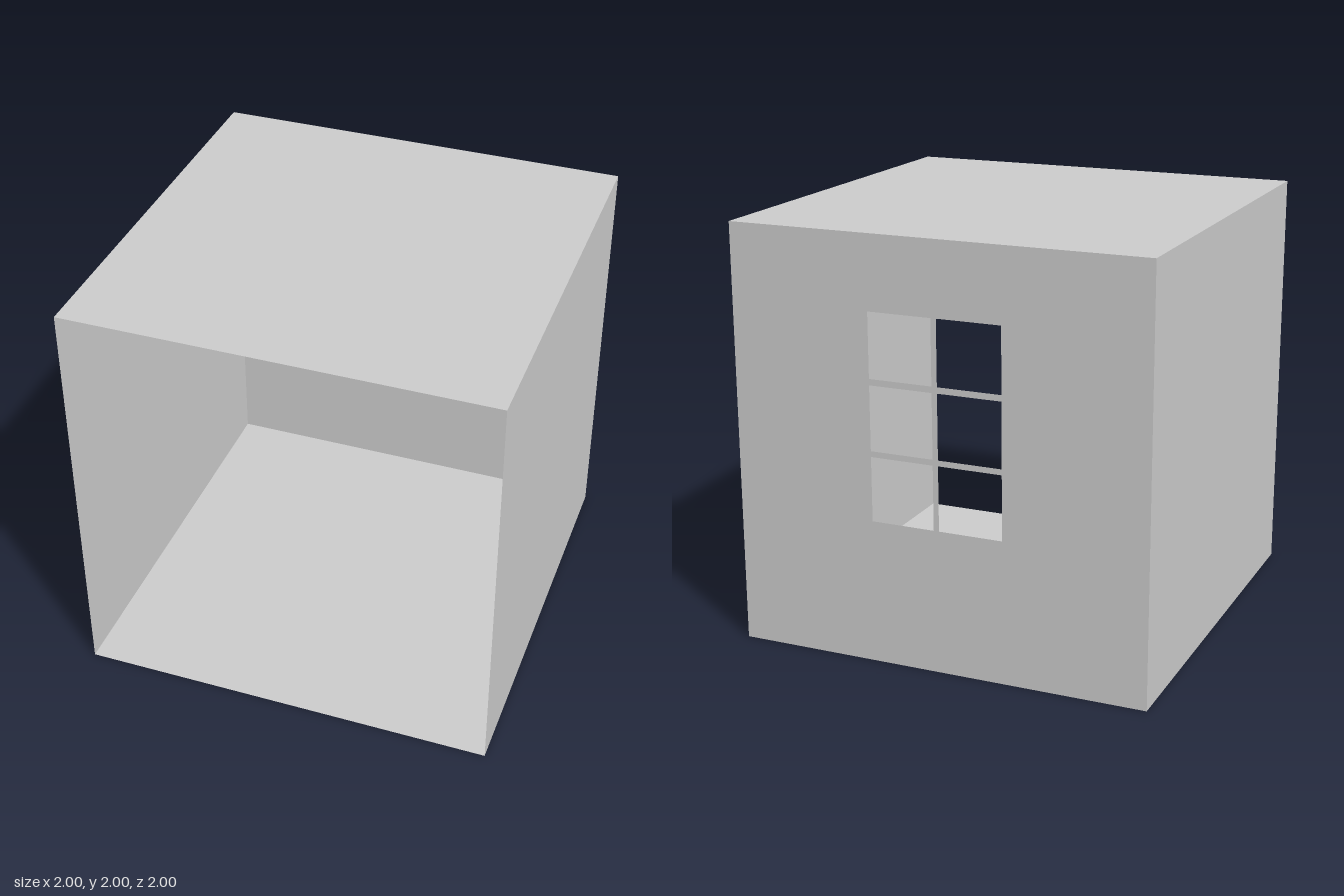
import * as THREE from 'three';

export function createModel() {
  const room = new THREE.Group();
  room.name = 'room';
  const material = new THREE.MeshStandardMaterial({ color: 0xcccccc, side: THREE.DoubleSide });

  function addPanel(name, geometry, position, rotation = [0, 0, 0]) {
    const mesh = new THREE.Mesh(geometry, material);
    mesh.name = name;
    mesh.position.set(...position);
    mesh.rotation.set(...rotation);
    room.add(mesh);
  }

  // Paper-thin floor, ceiling and side walls; the front is open
  const panel = new THREE.PlaneGeometry(2, 2);
  const quarter = Math.PI / 2;
  addPanel('floor', panel, [0, 0, 0], [quarter, 0, 0]);
  addPanel('ceiling', panel, [0, 2, 0], [-quarter, 0, 0]);
  addPanel('leftWall', panel, [1, 1, 0], [0, quarter, 0]);
  addPanel('rightWall', panel, [-1, 1, 0], [0, -quarter, 0]);

  // Clockwise rectangle for a window pane opening
  const opening = (x, y, w, h) => new THREE.Path([
    new THREE.Vector2(x, y),
    new THREE.Vector2(x, y + h),
    new THREE.Vector2(x + w, y + h),
    new THREE.Vector2(x + w, y),
  ]);

  // Back wall with a window of two by three panes, outward side facing back
  const wall = new THREE.Shape([
    new THREE.Vector2(-1, 0),
    new THREE.Vector2(1, 0),
    new THREE.Vector2(1, 2),
    new THREE.Vector2(-1, 2),
  ]);
  const pane = 0.305;
  for (const x of [-0.318, 0.013]) {
    for (const y of [0.683, 1.015, 1.349]) wall.holes.push(opening(x, y, pane, pane));
  }
  addPanel('backWall', new THREE.ShapeGeometry(wall), [0, 0, -1], [0, Math.PI, 0]);

  return room;
}
